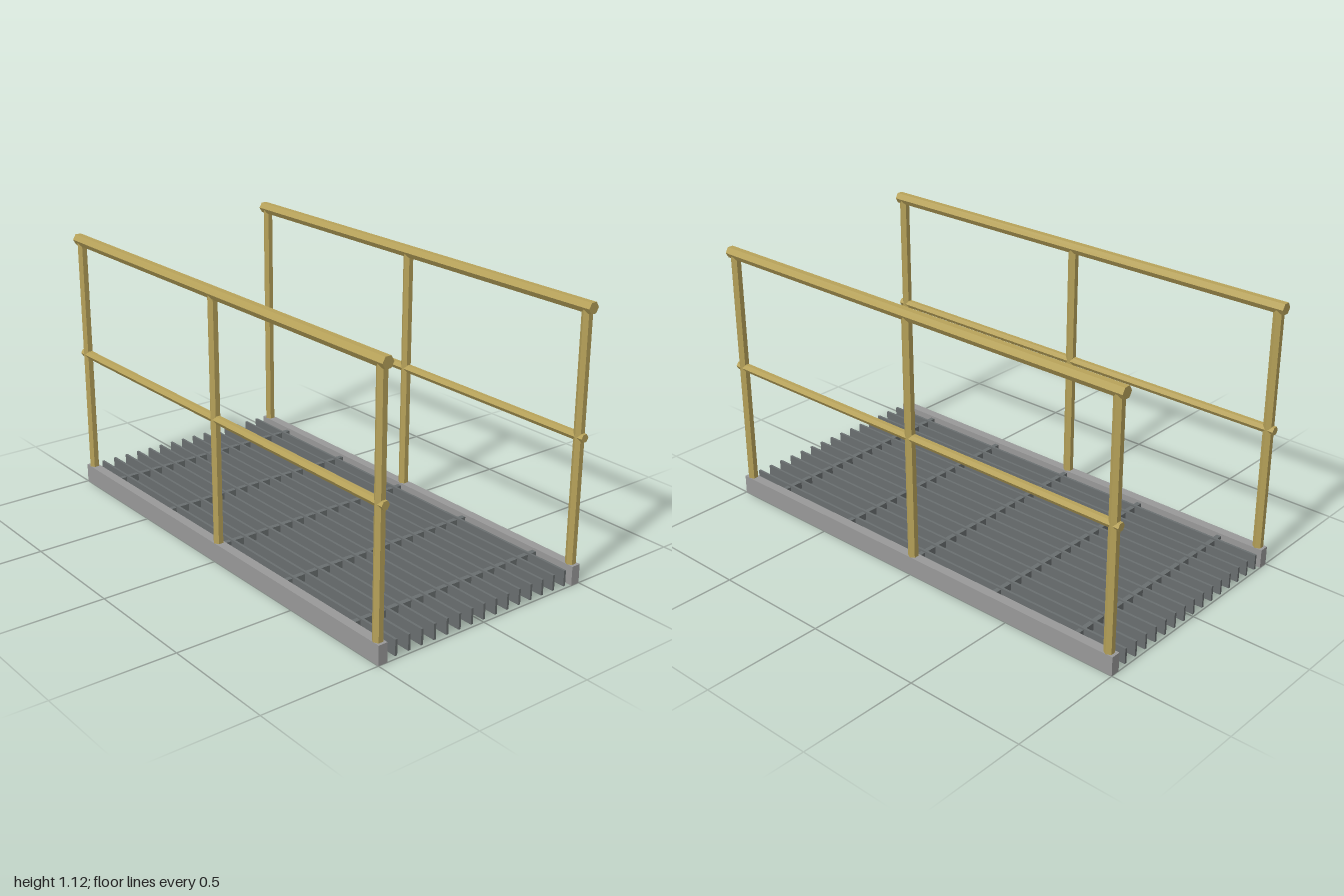
import * as THREE from 'three';

export function createModel() {
  const group = new THREE.Group();
  const material = (name, color, flatShading = false) => {
    const m = new THREE.MeshStandardMaterial({ color, flatShading });
    m.name = name;
    return m;
  };
  const railPaint = material('railYellow', 0xb8a35a, true);
  const beamSteel = material('beamGrey', 0x999999);
  const gratingSteel = material('gratingGrey', 0x6a6f70);

  const add = (name, geometry, mat, x, y, z) => {
    const mesh = new THREE.Mesh(geometry, mat);
    mesh.name = name;
    mesh.position.set(x, y, z);
    group.add(mesh);
  };

  // Six-sided tubes with corners pointing sideways, upright or along z
  const tube = (radius, length) =>
    new THREE.CylinderGeometry(radius, radius, length, 6).rotateY(Math.PI / 2);
  const postGeometry = tube(0.021, 1.02);
  const topRailGeometry = tube(0.025, 2).rotateX(Math.PI / 2);
  const midRailGeometry = tube(0.018, 2).rotateX(Math.PI / 2);
  const beamGeometry = new THREE.BoxGeometry(0.04, 0.08, 2);

  // Side beams and handrails
  for (const [side, s] of [['left', 1], ['right', -1]]) {
    const x = s * 0.48;
    add(side + 'Beam', beamGeometry, beamSteel, x, 0.04, 0);
    add(side + 'TopRail', topRailGeometry, railPaint, x, 1.1, 0);
    add(side + 'MidRail', midRailGeometry, railPaint, x, 0.6, 0);
    for (const z of [-0.97, 0, 0.97]) {
      add(side + 'Post', postGeometry, railPaint, x, 0.59, z);
    }
  }

  // Grating: long bearing bars
  const barGeometry = new THREE.BoxGeometry(0.01, 0.065, 2);
  for (let i = -7; i <= 7; i++) {
    add('bearingBar', barGeometry, gratingSteel, i * 0.06, 0.0445, 0);
  }

  // Grating: cross bars between the beams
  const crossGeometry = new THREE.BoxGeometry(0.92, 0.03, 0.02);
  for (let i = -2; i <= 2; i++) {
    add('crossBar', crossGeometry, gratingSteel, 0, 0.055, i * 0.4);
  }

  return group;
}
